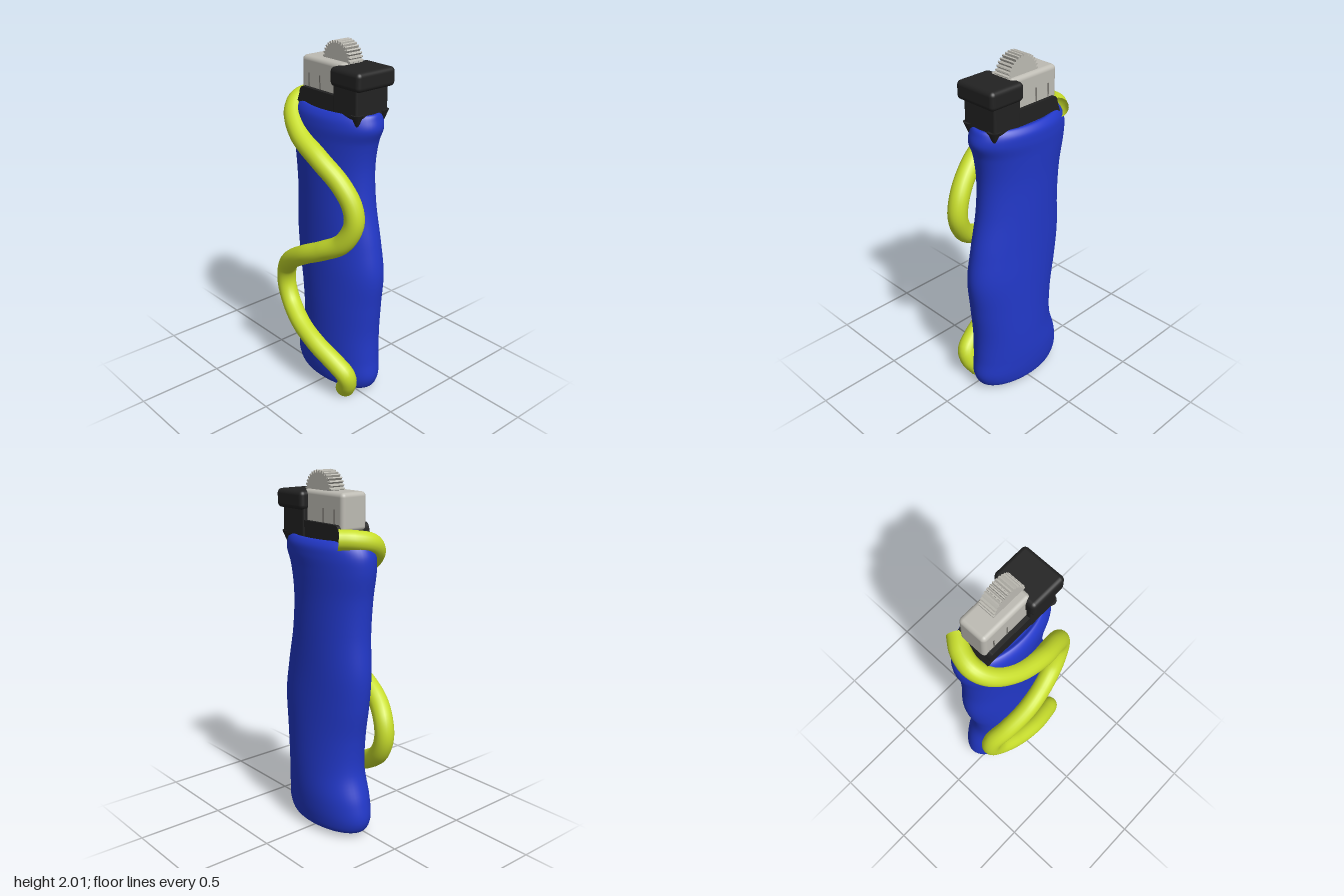
import * as THREE from 'three';
import { RoundedBoxGeometry } from 'three/addons/geometries/RoundedBoxGeometry.js';

const mat = (name, color, side = THREE.FrontSide) => {
  const m = new THREE.MeshStandardMaterial({ color, side });
  m.name = name;
  return m;
};

// Smooth skin over oval cross-sections [y, left x, right x, front z, back z]
function ovalLoft(keys, steps, sides) {
  const a = new THREE.CatmullRomCurve3(keys.map(k => new THREE.Vector3(k[1], k[0], k[3])), false, 'centripetal');
  const b = new THREE.CatmullRomCurve3(keys.map(k => new THREE.Vector3(k[2], k[0], k[4])), false, 'centripetal');
  const pos = [], index = [];
  for (let i = 0; i <= steps; i++) {
    const p = a.getPoint(i / steps), q = b.getPoint(i / steps);
    for (let j = 0; j < sides; j++) {
      const t = j / sides * Math.PI * 2;
      pos.push((p.x + q.x) / 2 + (q.x - p.x) / 2 * Math.cos(t), (p.y + q.y) / 2,
        (p.z + q.z) / 2 + (p.z - q.z) / 2 * Math.sin(t));
      if (i < steps) {
        const c = i * sides + j, d = i * sides + (j + 1) % sides;
        index.push(c, c + sides, d, d, c + sides, d + sides);
      }
    }
  }
  const g = new THREE.BufferGeometry();
  g.setAttribute('position', new THREE.Float32BufferAttribute(pos, 3));
  g.setIndex(index);
  g.computeVertexNormals();
  return g;
}

export function createModel() {
  const group = new THREE.Group();
  const blue = mat('blue plastic', 0x2238c8);
  const lime = mat('lime cord', 0xc8de2c, THREE.DoubleSide);
  const black = mat('black plastic', 0x222222);
  const silver = mat('silver metal', 0xbdbbb3);
  const dark = mat('dark slit', 0x77756f);

  const add = (name, geometry, material, x = 0, y = 0, z = 0) => {
    const m = new THREE.Mesh(geometry, material);
    m.name = name;
    m.position.set(x, y, z);
    group.add(m);
    return m;
  };
  // Box given by its limits, with rounded edges
  const block = (name, material, x0, x1, y0, y1, z0, z1, r) =>
    add(name, new RoundedBoxGeometry(x1 - x0, y1 - y0, z1 - z0, 4, r), material,
      (x0 + x1) / 2, (y0 + y1) / 2, (z0 + z1) / 2);

  // Squeezed, wavy body
  add('body', ovalLoft([
    [0.015, 0, 0.001, -0.05, -0.051],
    [0.015, -0.25, 0.25, 0.07, -0.17],
    [0.03, -0.285, 0.275, 0.095, -0.195],
    [0.09, -0.31, 0.30, 0.11, -0.21],
    [0.2, -0.295, 0.292, 0.118, -0.22],
    [0.36, -0.245, 0.288, 0.12, -0.22],
    [0.55, -0.25, 0.305, 0.12, -0.215],
    [0.75, -0.285, 0.325, 0.115, -0.21],
    [0.93, -0.302, 0.298, 0.11, -0.206],
    [1.15, -0.29, 0.25, 0.11, -0.205],
    [1.35, -0.3, 0.238, 0.115, -0.207],
    [1.5, -0.325, 0.262, 0.12, -0.215],
    [1.58, -0.325, 0.292, 0.12, -0.22],
    [1.63, -0.305, 0.282, 0.11, -0.215],
    [1.66, -0.28, 0.265, 0.085, -0.19],
    [1.65, -0.22, 0.22, 0.06, -0.16],
    [1.65, 0, 0.001, -0.05, -0.051],
  ], 112, 56), blue);

  // Cord winding down the front from the back of the collar
  const path = new THREE.CatmullRomCurve3([
    [-0.205, 1.67, -0.16], [-0.255, 1.665, -0.09], [-0.274, 1.645, 0], [-0.23, 1.59, 0.075],
    [-0.1, 1.5, 0.135], [0.07, 1.415, 0.15], [0.2, 1.31, 0.122], [0.27, 1.2, 0.1],
    [0.282, 1.1, 0.098], [0.22, 0.98, 0.12], [0.1, 0.905, 0.15], [-0.04, 0.835, 0.165],
    [-0.19, 0.74, 0.145], [-0.27, 0.65, 0.115], [-0.287, 0.55, 0.108], [-0.24, 0.445, 0.115],
    [-0.12, 0.36, 0.142], [0.04, 0.285, 0.152], [0.17, 0.215, 0.132], [0.237, 0.16, 0.112],
    [0.235, 0.1, 0.092], [0.19, 0.025, 0.068],
  ].map(p => new THREE.Vector3(...p)));
  add('cord', new THREE.TubeGeometry(path, 180, 0.055, 20, false), lime);

  // Collar with a rounded left shoulder
  const collar = new THREE.Shape();
  collar.moveTo(-0.225, 1.645);
  collar.lineTo(0.245, 1.645);
  collar.lineTo(0.245, 1.74);
  collar.lineTo(-0.18, 1.74);
  collar.quadraticCurveTo(-0.2, 1.735, -0.205, 1.7);
  collar.lineTo(-0.225, 1.645);
  add('collar', new THREE.ExtrudeGeometry(collar, { depth: 0.21, bevelEnabled: false }), black, 0, 0, -0.155);

  // Thumb press: neck, overhanging cap and two pointed prongs
  block('pressNeck', black, 0.07, 0.25, 1.645, 1.82, -0.16, 0.06, 0.012);
  block('pressCap', black, 0.063, 0.284, 1.792, 1.892, -0.18, 0.08, 0.025);
  for (const z of [0.038, -0.138]) {
    const prong = add('prong', new THREE.ConeGeometry(0.034, 0.08, 12), black, 0.232, 1.63, z);
    prong.rotation.x = Math.PI;
  }

  // Metal wind guard with short slits on both faces
  block('windGuard', silver, -0.213, 0.107, 1.7, 1.9, -0.135, 0.031, 0.024);
  for (const x of [-0.15, -0.062])
    for (const z of [0.031, -0.135])
      add('slit', new THREE.BoxGeometry(0.008, 0.08, 0.004), dark, x, 1.775, z);

  // Toothed spark wheel
  const wheel = new THREE.Shape();
  const teeth = 32;
  for (let i = 0; i < teeth; i++) {
    [[0, 0.092], [0.25, 0.105], [0.6, 0.105], [0.8, 0.092]].forEach(([o, r], k) => {
      const t = (i + o) / teeth * Math.PI * 2;
      wheel[i + k ? 'lineTo' : 'moveTo'](r * Math.cos(t), r * Math.sin(t));
    });
  }
  wheel.closePath();
  add('sparkWheel', new THREE.ExtrudeGeometry(wheel, { depth: 0.094, bevelEnabled: false }), silver, 0.007, 1.895, -0.113);

  return group;
}
